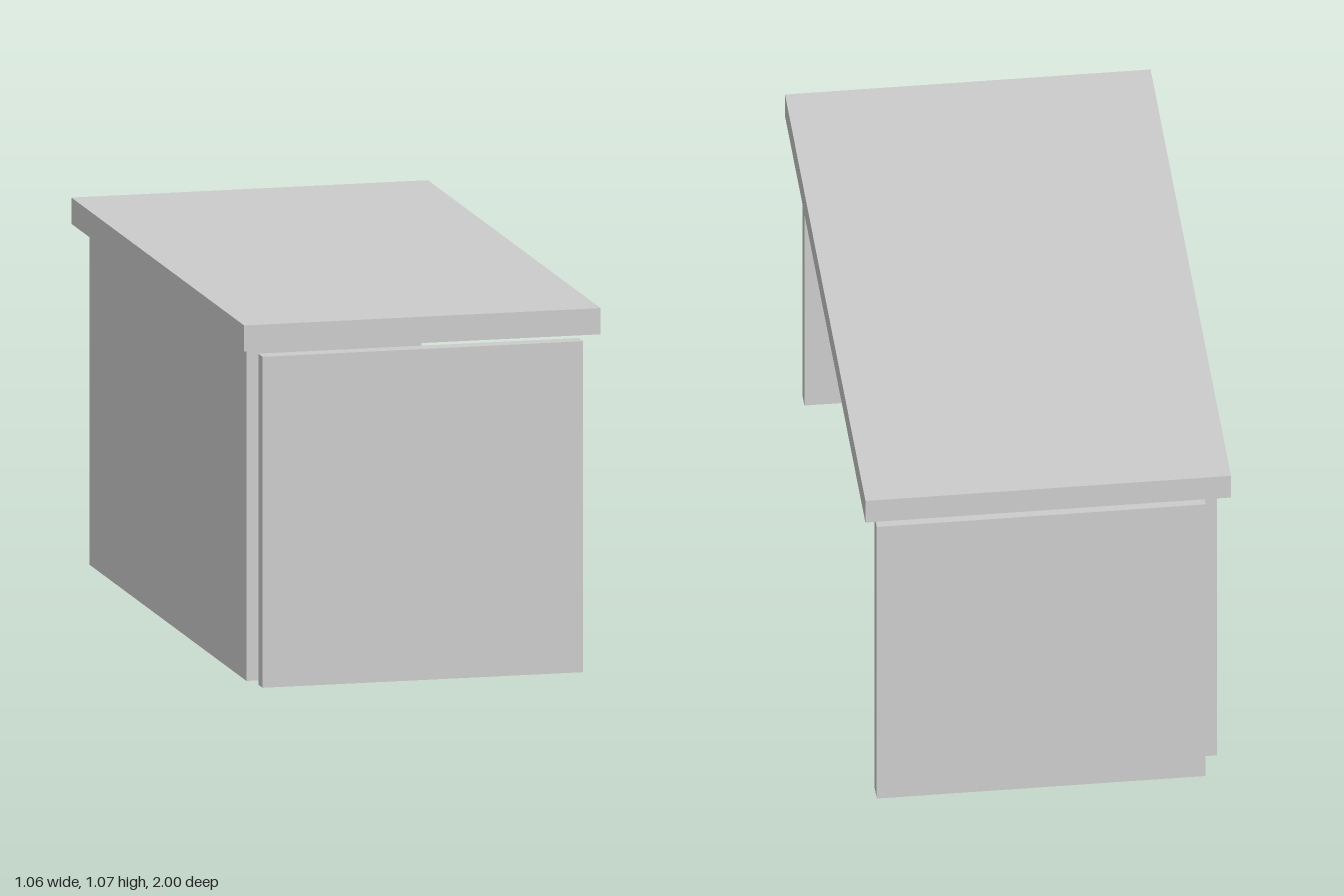
import * as THREE from 'three';

const material = new THREE.MeshStandardMaterial({ color: 0xcccccc, flatShading: true });

// A flat board given by its extents along each axis
function board(name, [x0, x1], [y0, y1], [z0, z1]) {
  const mesh = new THREE.Mesh(new THREE.BoxGeometry(x1 - x0, y1 - y0, z1 - z0), material);
  mesh.position.set((x0 + x1) / 2, (y0 + y1) / 2, (z0 + z1) / 2);
  mesh.name = name;
  return mesh;
}

export function createModel() {
  const desk = new THREE.Group();
  desk.name = 'desk';
  desk.add(
    board('desktop', [-0.53, 0.53], [0.992, 1.069], [-1, 1]),
    // Upright end panels, each set slightly differently under the top
    board('frontEndPanel', [-0.472, 0.481], [0.001, 0.972], [0.938, 0.988]),
    board('backEndPanel', [-0.457, 0.497], [0.004, 0.972], [-0.998, -0.943]),
    // Long panel closing one side, with gaps to its neighbours
    board('sidePanel', [-0.5, -0.455], [0.008, 0.978], [-0.907, 0.91]),
  );
  return desk;
}
